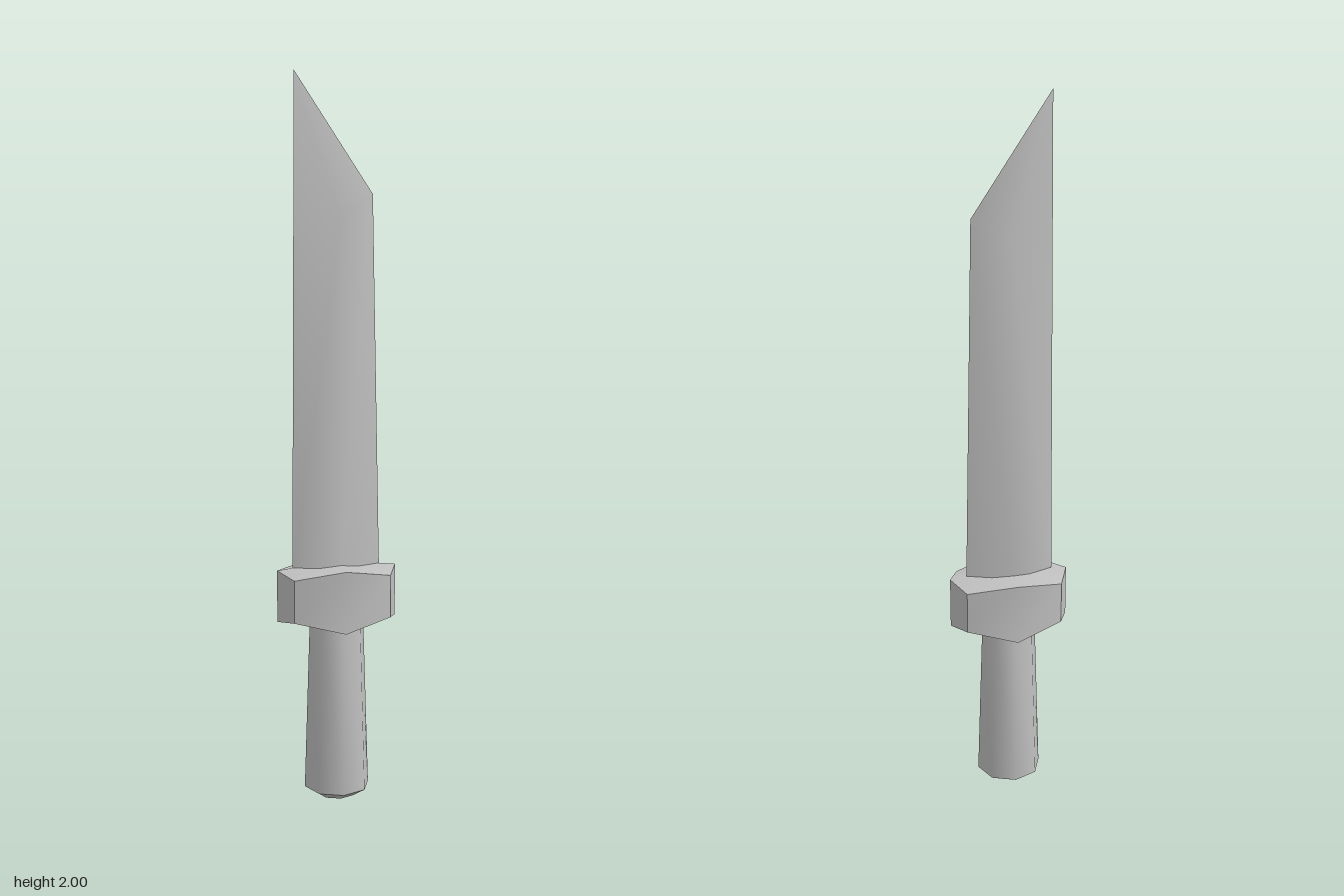
import * as THREE from 'three';
import { toCreasedNormals } from 'three/addons/utils/BufferGeometryUtils.js';

const steel = new THREE.MeshStandardMaterial({ color: 0xc0c0c0 });
steel.name = 'grey steel';

// Triangles from a corner list, softened below the crease angle
function faceted(points, faces, crease) {
  const g = new THREE.BufferGeometry();
  g.setAttribute('position', new THREE.Float32BufferAttribute(points.flat(), 3));
  g.setIndex(faces.flat());
  return toCreasedNormals(g, crease);
}

function addPart(group, name, geometry) {
  const mesh = new THREE.Mesh(geometry, steel);
  mesh.name = name;
  group.add(mesh);
}

// One side of the diamond-section blade, with its slanted tip bevel
function bladeSide(s) {
  const points = [
    [-0.125, 0.63, 0], [0.122, 0.63, 0], [0, 0.63, s * 0.052],
    [-0.115, 2, 0], [0.1, 1.68, 0], [0, 1.63, s * 0.05],
  ];
  const faces = [[0, 2, 5], [0, 5, 3], [2, 1, 4], [2, 4, 5], [3, 5, 4]];
  return faceted(points, s > 0 ? faces : faces.map(f => [...f].reverse()), 1.0);
}

// Eight-sided crossguard with a wavy rim and slightly domed caps
function guardGeometry() {
  const quarter = [
    { x: 0.168, z: 0, low: 0.515, high: 0.66 },
    { x: 0.135, z: 0.073, low: 0.528, high: 0.647 },
    { x: 0, z: 0.115, low: 0.5, high: 0.674 },
  ];
  const rim = [];
  for (let i = 0; i < 8; i++) {
    const q = quarter[i % 4 === 3 ? 1 : i % 4];
    const sx = i > 2 && i < 6 ? -1 : 1;
    const sz = i < 4 ? -1 : 1;
    rim.push({ ...q, x: q.x * sx, z: q.z * sz });
  }
  const end = quarter[0];
  rim[0] = { ...end };
  rim[4] = { ...end, x: -end.x };
  const points = [
    ...rim.map(r => [r.x, r.low, r.z]),
    ...rim.map(r => [r.x, r.high, r.z]),
    [0, 0.505, 0], [0, 0.68, 0],
  ];
  const faces = [];
  for (let i = 0; i < 8; i++) {
    const j = (i + 1) % 8;
    faces.push([i, j, 8 + j], [i, 8 + j, 8 + i], [17, 8 + i, 8 + j], [16, j, i]);
  }
  return faceted(points, faces, 0.7);
}

export function createModel() {
  const model = new THREE.Group();
  model.name = 'shortSword';

  addPart(model, 'bladeFront', bladeSide(1));
  addPart(model, 'bladeBack', bladeSide(-1));
  addPart(model, 'crossguard', guardGeometry());

  // Tapered octagonal grip with a bevelled butt
  const profile = [[0, 0], [0.055, 0.006], [0.092, 0.03], [0.076, 0.53]];
  const grip = new THREE.LatheGeometry(profile.map(p => new THREE.Vector2(...p)), 8);
  addPart(model, 'grip', toCreasedNormals(grip, 0.9));

  return model;
}
